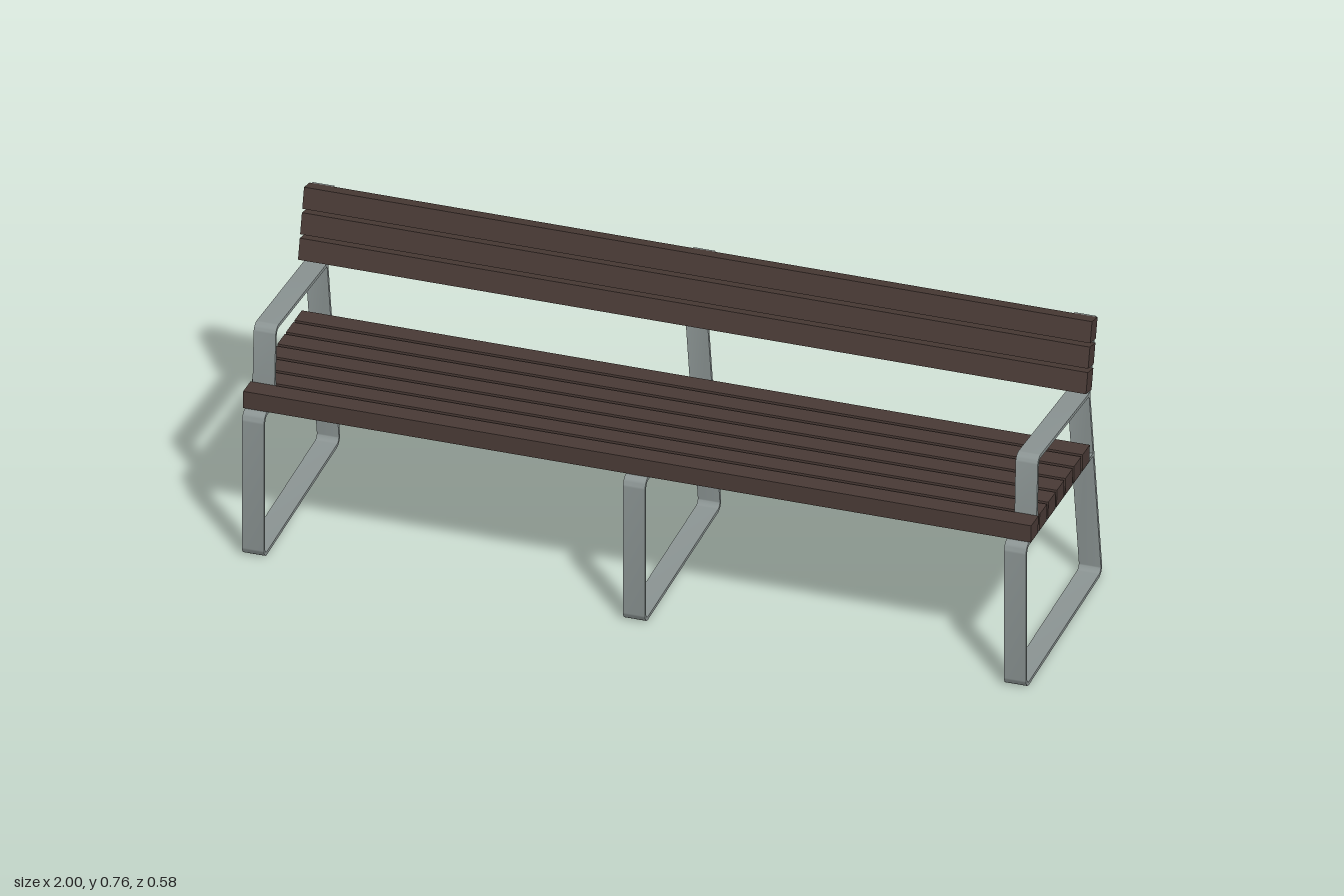
import * as THREE from 'three';
import { toCreasedNormals } from 'three/addons/utils/BufferGeometryUtils.js';

const BAR = 0.009;      // flat bar thickness
const BAR_WIDTH = 0.056;

const metal = new THREE.MeshStandardMaterial({ color: 0x8c9594 });
const wood = new THREE.MeshStandardMaterial({ color: 0x4a3b36 });

// Side-plane path: corners are [z, y, radius]; rounded corners become short arcs.
function roundedPath(corners) {
  const points = [];
  corners.forEach(([z, y, radius], i) => {
    const p = new THREE.Vector2(z, y);
    if (!radius) return points.push(p);
    const a = new THREE.Vector2(...corners[i - 1].slice(0, 2)).sub(p).normalize();
    const b = new THREE.Vector2(...corners[i + 1].slice(0, 2)).sub(p).normalize();
    const half = Math.acos(a.dot(b)) / 2;
    const centre = a.clone().add(b).normalize().multiplyScalar(radius / Math.sin(half)).add(p);
    const start = a.clone().multiplyScalar(radius / Math.tan(half)).add(p).sub(centre);
    const sweep = (Math.PI - 2 * half) * Math.sign(b.cross(a));
    const steps = 8;
    for (let k = 0; k <= steps; k++) {
      points.push(start.clone().rotateAround(new THREE.Vector2(), (sweep * k) / steps).add(centre));
    }
  });
  return points;
}

// Bent flat bar: the path thickened with mitred joints, extruded across x.
function flatBar(name, corners) {
  const path = roundedPath(corners);
  const left = [], right = [];
  path.forEach((p, i) => {
    const before = p.clone().sub(path[Math.max(i - 1, 0)]).normalize();
    const after = path[Math.min(i + 1, path.length - 1)].clone().sub(p).normalize();
    const t = before.clone().add(after).normalize();
    const cosHalf = t.dot(i > 0 ? before : after);
    const offset = new THREE.Vector2(-t.y, t.x).multiplyScalar(BAR / 2 / cosHalf);
    left.push(p.clone().add(offset));
    right.unshift(p.clone().sub(offset));
  });
  const extruded = new THREE.ExtrudeGeometry(new THREE.Shape([...left, ...right]), {
    depth: BAR_WIDTH, bevelEnabled: false,
  });
  extruded.translate(0, 0, -BAR_WIDTH / 2).rotateY(-Math.PI / 2);
  const mesh = new THREE.Mesh(toCreasedNormals(extruded, 0.5), metal);
  mesh.name = name;
  return mesh;
}

function slat(name, height, depth, z, y, tilt) {
  const mesh = new THREE.Mesh(new THREE.BoxGeometry(2, height, depth), wood);
  mesh.name = name;
  mesh.position.set(0, y, z);
  mesh.rotation.x = tilt;
  return mesh;
}

export function createModel() {
  const bench = new THREE.Group();
  bench.name = 'bench';

  // Three supports; the outer two carry armrests
  for (const x of [-0.967, 0, 0.967]) {
    const support = new THREE.Group();
    support.name = 'support';
    support.position.x = x;
    support.add(flatBar('legFrame', [
      [-0.222, 0.37], [0.285, 0.397, 0.02], [0.285, 0.0055, 0.018],
      [-0.287, 0.0055, 0.018], [-0.194, 0.554], [-0.243, 0.745],
    ]));
    if (x !== 0) {
      support.add(flatBar('armrest', [[-0.194, 0.554], [0.196, 0.593, 0.018], [0.2065, 0.393]]));
    }
    bench.add(support);
  }

  // Seat slats lying on the sloping rail
  for (let i = 0; i < 7; i++) {
    bench.add(slat('seatSlat', 0.045, 0.0545, 0.2385 - 0.065 * i, 0.4215 - 0.00346 * i, -0.053));
  }

  // Backrest slats fixed to the front of the leaning uprights
  const lean = 0.253;
  for (let i = 0; i < 3; i++) {
    const along = 0.0415 + 0.0643 * i, out = 0.0262;
    const z = -0.194 - along * Math.sin(lean) + out * Math.cos(lean);
    const y = 0.554 + along * Math.cos(lean) + out * Math.sin(lean);
    bench.add(slat('backSlat', 0.0545, 0.0435, z, y, -lean));
  }
  return bench;
}
